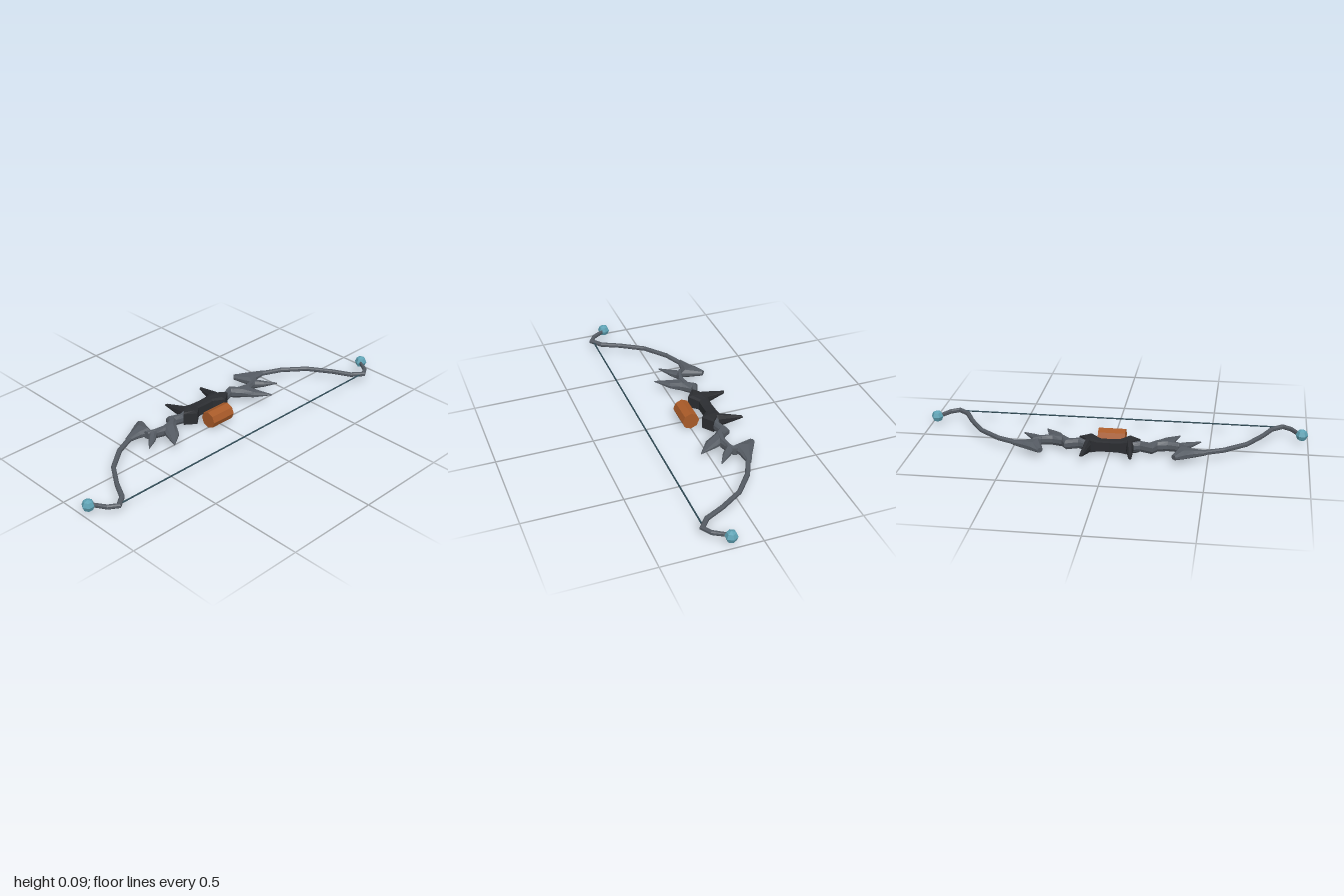
import * as THREE from 'three';

const CY = 0.0455; // height of the bow's mid-plane

const mat = (color) => new THREE.MeshStandardMaterial({ color, flatShading: true });

// Loft of chamfered sections. Each row: [edge A x, z, edge B x, z, half height].
// edge = share of the half height kept at the outer edges; side = -1 mirrors in z.
function loft(rows, material, name, side = 1, edge = 0.4) {
  const profile = [[0, edge], [0.25, 1], [0.75, 1], [1, edge], [1, -edge], [0.75, -1], [0.25, -1], [0, -edge]];
  const n = profile.length;
  const rings = rows.map(([ax, az, bx, bz, h]) => profile.map(([t, v]) =>
    new THREE.Vector3(ax + (bx - ax) * t, CY + h * v, side * (az + (bz - az) * t))));
  const tris = [];
  for (let i = 0; i < rings.length - 1; i++) {
    for (let j = 0; j < n; j++) {
      const k = (j + 1) % n;
      const [a, b, c, d] = [rings[i][j], rings[i][k], rings[i + 1][k], rings[i + 1][j]];
      tris.push([a, b, c], [a, c, d]);
    }
  }
  const first = rings[0], last = rings[rings.length - 1];
  for (let j = 1; j < n - 1; j++) {
    tris.push([first[0], first[j + 1], first[j]], [last[0], last[j], last[j + 1]]);
  }
  // Turn the faces outward, whichever way the section runs
  const o = first[0], v = new THREE.Vector3(), w = new THREE.Vector3(), u = new THREE.Vector3();
  let volume = 0;
  for (const [a, b, c] of tris) {
    volume += u.subVectors(a, o).dot(v.subVectors(b, o).cross(w.subVectors(c, o)));
  }
  const points = tris.flatMap(([a, b, c]) => (volume < 0 ? [a, c, b] : [a, b, c]));
  const geometry = new THREE.BufferGeometry().setFromPoints(points);
  geometry.computeVertexNormals();
  const mesh = new THREE.Mesh(geometry, material);
  mesh.name = name;
  return mesh;
}

// Rows for a bar of given half width and half height along [x, z] points
function barRows(path, widths, height) {
  return path.map(([x, z], i) => {
    const p = path[Math.max(i - 1, 0)], q = path[Math.min(i + 1, path.length - 1)];
    const len = Math.hypot(q[0] - p[0], q[1] - p[1]);
    const nx = -(q[1] - p[1]) / len * widths[i], nz = (q[0] - p[0]) / len * widths[i];
    return [x + nx, z + nz, x - nx, z - nz, height];
  });
}

export function createModel() {
  const bow = new THREE.Group();
  bow.name = 'bow';
  const grey = mat(0x555b63), dark = mat(0x2b2d31), orange = mat(0xa85a28);
  const teal = mat(0x5fa3b5), cord = mat(0x2f4a55);

  // Wrapped handle
  const handle = new THREE.Mesh(new THREE.CylinderGeometry(0.045, 0.045, 0.14, 8), orange);
  handle.name = 'handle';
  handle.rotation.x = Math.PI / 2;
  handle.position.set(0, CY, 0);
  bow.add(handle);

  // Bowstring
  const string = new THREE.Mesh(new THREE.CylinderGeometry(0.004, 0.004, 1.74, 6), cord);
  string.name = 'bowstring';
  string.rotation.x = Math.PI / 2;
  string.position.set(0.24, CY, 0);
  bow.add(string);

  for (const side of [1, -1]) {
    const half = new THREE.Group();
    half.name = side > 0 ? 'frontHalf' : 'backHalf';
    bow.add(half);
    const add = (name, rows, material = grey, edge) => half.add(loft(rows, material, name, side, edge));

    // Dark riser and its forward spike
    add('riser', [
      [-0.143, 0, -0.09, 0, 0.028],
      [-0.145, 0.06, -0.09, 0.05, 0.03],
      [-0.145, 0.09, -0.048, 0.1, 0.037],
      [-0.118, 0.125, -0.09, 0.157, 0.037],
    ], dark, 0.85);
    add('riserSpike', [
      [-0.262, 0.13, -0.257, 0.114, 0.006],
      [-0.13, 0.125, -0.135, 0.088, 0.036],
      [-0.1, 0.12, -0.1, 0.08, 0.036],
    ], dark);

    // Grey core joining the riser to the limb
    add('limbRoot', [
      [-0.138, 0.108, -0.085, 0.124, 0.026],
      [-0.122, 0.158, -0.09, 0.158, 0.026],
      [-0.148, 0.225, -0.101, 0.198, 0.026],
      [-0.111, 0.245, -0.066, 0.238, 0.027],
      [-0.098, 0.294, -0.063, 0.3, 0.026],
      [-0.106, 0.352, -0.079, 0.347, 0.024],
      [-0.13, 0.395, -0.095, 0.386, 0.02],
    ]);

    // Barbs sweeping toward the string
    add('innerBarb', [
      [-0.101, 0.198, -0.111, 0.241, 0.025],
      [-0.063, 0.232, -0.085, 0.3, 0.025],
      [-0.005, 0.267, -0.042, 0.32, 0.016],
      [0.053, 0.347, 0.049, 0.349, 0.003],
    ]);
    add('outerBarb', [
      [-0.079, 0.335, -0.108, 0.352, 0.022],
      [-0.077, 0.352, -0.1, 0.386, 0.021],
      [-0.046, 0.389, -0.072, 0.412, 0.014],
      [-0.011, 0.457, -0.014, 0.459, 0.003],
    ]);

    // Broad horn pointing away from the string
    add('horn', [
      [-0.233, 0.347, -0.212, 0.325, 0.012],
      [-0.208, 0.39, -0.106, 0.357, 0.024],
      [-0.182, 0.435, -0.125, 0.415, 0.019],
      [-0.155, 0.492, -0.132, 0.487, 0.011],
    ]);

    // Slim curved limb with a hooked end
    add('limb', barRows(
      [[-0.148, 0.465], [-0.098, 0.577], [-0.008, 0.69], [0.11, 0.767], [0.205, 0.815],
        [0.248, 0.87], [0.22, 0.914], [0.15, 0.958]],
      [0.013, 0.012, 0.011, 0.011, 0.012, 0.013, 0.01, 0.006], 0.011), grey, 0.5);

    // Bead at the limb end
    const bead = new THREE.Mesh(new THREE.SphereGeometry(0.032, 6, 4), teal);
    bead.name = 'tipBead';
    bead.rotation.y = Math.PI / 2;
    bead.position.set(0.147, CY, side * 0.968);
    half.add(bead);
  }
  return bow;
}
